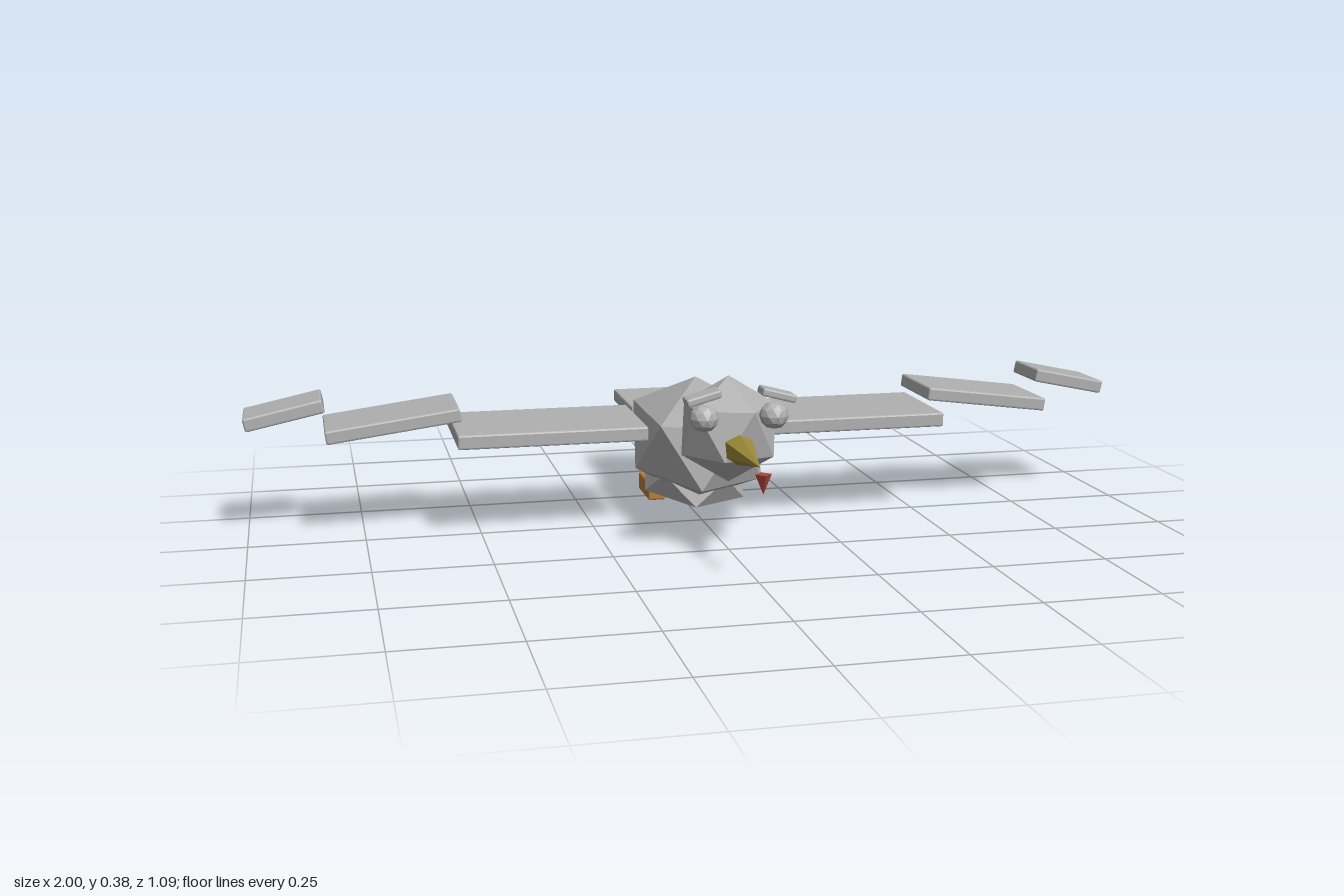
import * as THREE from 'three';
import { RoundedBoxGeometry } from 'three/addons/geometries/RoundedBoxGeometry.js';

const flat = (name, color) => {
  const m = new THREE.MeshStandardMaterial({ color, flatShading: true });
  m.name = name;
  return m;
};

export function createModel() {
  const bird = new THREE.Group();
  bird.name = 'bird';
  const feather = flat('feather grey', 0xb0b0b0);
  const horn = flat('beak olive', 0x9c8a38);
  const skin = flat('foot orange', 0xb57c38);
  const red = flat('red', 0xb0443c);

  const add = (name, geometry, material, x, y, z) => {
    const mesh = new THREE.Mesh(geometry, material);
    mesh.name = name;
    mesh.position.set(x, y, z);
    bird.add(mesh);
    return mesh;
  };

  // Faceted ball standing on a corner, stretched to the given radii
  const ball = (rx, ry, rz, detail = 0) =>
    new THREE.IcosahedronGeometry(1, detail)
      .rotateX(-Math.atan2((1 + Math.sqrt(5)) / 2, 1))
      .rotateY(Math.PI / 2)
      .scale(rx, ry, rz);

  // Box with narrow chamfers
  const block = (w, h, d) => new RoundedBoxGeometry(w, h, d, 1, 0.004);

  // Trunk and head
  add('body', ball(0.157, 0.142, 0.297), feather, 0, 0.177, -0.066);
  add('belly', ball(0.126, 0.068, 0.215), feather, 0, 0.084, -0.093);
  add('head', ball(0.114, 0.114, 0.114), feather, 0, 0.262, 0.244);
  add('tail', block(0.206, 0.03, 0.242), feather, 0, 0.192, -0.42);

  // Beak pointing forward with a red drop below its tip
  const beak = new THREE.ConeGeometry(0.036, 0.18, 6).rotateX(Math.PI / 2);
  add('beak', beak, horn, 0, 0.237, 0.41);
  const drop = new THREE.ConeGeometry(0.017, 0.041, 4).rotateX(Math.PI);
  add('drop', drop, red, 0, 0.209, 0.527);

  // Paired parts
  for (const [side, s] of [['left', 1], ['right', -1]]) {
    add(side + 'InnerWing', block(0.416, 0.032, 0.262), feather, s * 0.343, 0.219, -0.068);
    add(side + 'MiddleWing', block(0.292, 0.03, 0.192), feather, s * 0.682, 0.248, -0.096)
      .rotation.z = -s * 0.13;
    add(side + 'WingTip', block(0.173, 0.03, 0.134), feather, s * 0.912, 0.271, -0.123)
      .rotation.z = -s * 0.21;
    add(side + 'Eye', ball(0.031, 0.029, 0.031, 1), feather, s * 0.074, 0.306, 0.335);
    add(side + 'Brow', block(0.074, 0.017, 0.047), feather, s * 0.079, 0.351, 0.339)
      .rotation.z = -s * 0.26;
    add(side + 'Foot', block(0.04, 0.042, 0.122), skin, s * 0.063, 0.021, -0.261);
  }
  return bird;
}
